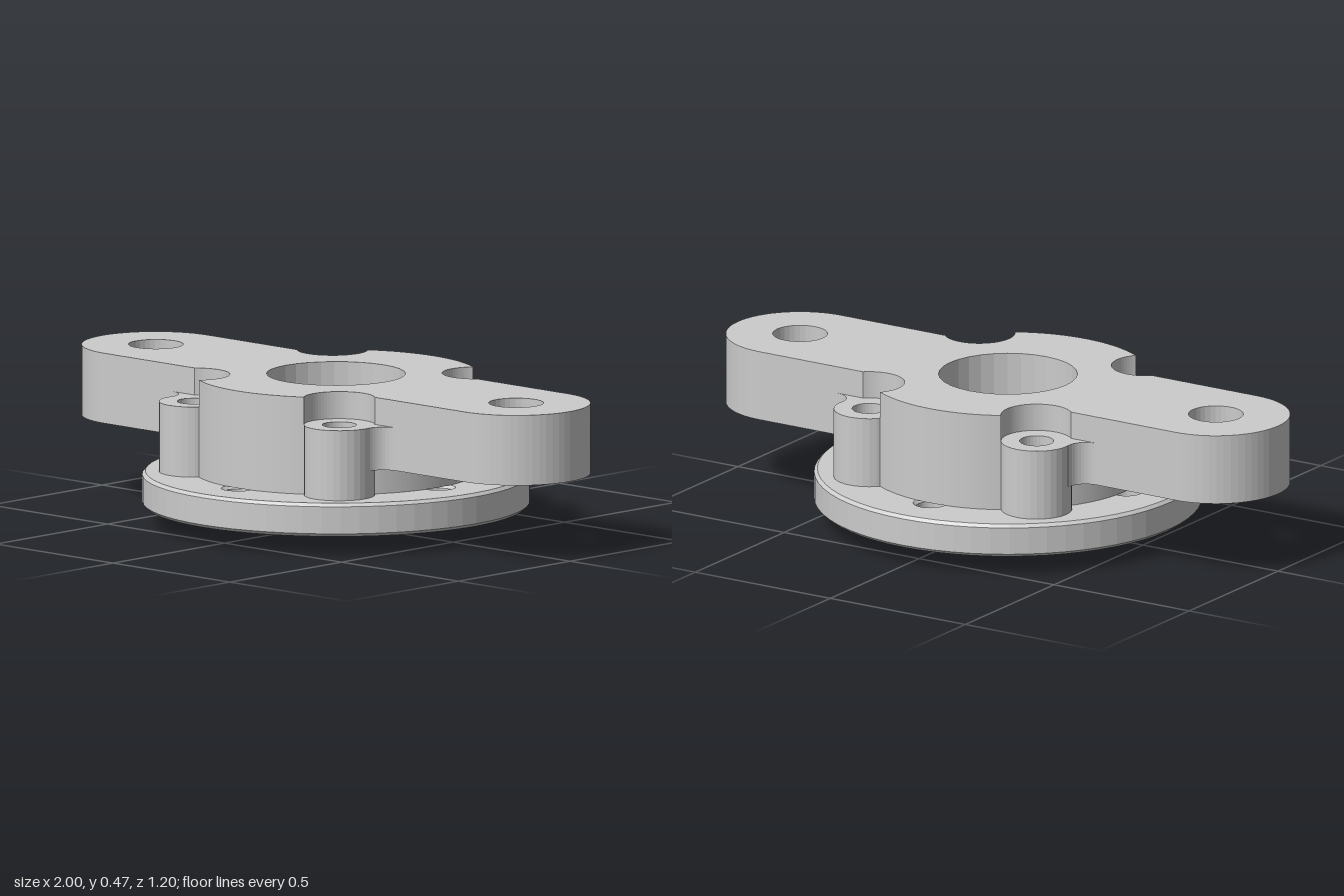
import * as THREE from 'three';

const rad = THREE.MathUtils.degToRad;
const material = new THREE.MeshStandardMaterial({ color: 0xcccccc, flatShading: true, side: THREE.DoubleSide });

const BOLT = 0.31;        // boss centre offset in x and z
const BOSS_R = 0.11;
const HUB_R = 0.44;
const ARM_X = 0.77;       // centre of the rounded arm end
const ARM_R = 0.23;

function circle(r, x = 0, y = 0, Type = THREE.Path) {
  return new Type().absarc(x, y, r, 0, Math.PI * 2, false);
}

// Plate from a plan shape between two heights, with optional edge chamfer
function plate(name, shape, holes, y0, y1, segments = 16, chamfer = 0) {
  shape.holes.push(...holes);
  const geometry = new THREE.ExtrudeGeometry(shape, {
    depth: y1 - y0 - 2 * chamfer, curveSegments: segments,
    bevelEnabled: chamfer > 0, bevelThickness: chamfer, bevelSize: chamfer,
    bevelOffset: -chamfer, bevelSegments: 1,
  });
  geometry.rotateX(-Math.PI / 2);
  geometry.translate(0, y0 + chamfer, 0);
  const mesh = new THREE.Mesh(geometry, material);
  mesh.name = name;
  return mesh;
}

// Round hub scooped out at the four bosses
function hubShape() {
  const s = new THREE.Shape();
  for (let k = 0; k < 4; k++) {
    const a = 45 + 90 * k;
    const d = BOLT * Math.SQRT2;
    s.absarc(d * Math.cos(rad(a)), d * Math.sin(rad(a)), BOSS_R, rad(a - 96.4), rad(a + 96.4), true);
    s.absarc(0, 0, HUB_R, rad(a + 14.4), rad(a + 75.6), false);
  }
  return s;
}

// Hub and both arms in one outline, with the same four scoops
function bodyShape() {
  const s = new THREE.Shape();
  for (const [side, turn] of [[1, 0], [-1, 180]]) {
    s.absarc(side * ARM_X, 0, ARM_R, rad(turn - 90), rad(turn + 90), false);
    s.absarc(side * BOLT, side * BOLT, BOSS_R, rad(turn - 46.7), rad(turn + 141.4), true);
    s.absarc(0, 0, HUB_R, rad(turn + 59.4), rad(turn + 120.6), false);
    s.absarc(-side * BOLT, side * BOLT, BOSS_R, rad(turn + 38.6), rad(turn + 226.7), true);
  }
  return s;
}

// Concave web blending a boss into the arm wall
function webShape(sx, sy) {
  const pts = [];
  for (let i = 0; i <= 10; i++) {
    const a = rad(-90 - 96.5 * i / 10);
    pts.push([0.48 + 0.061 * Math.cos(a), 0.291 + 0.061 * Math.sin(a)]);
  }
  pts.push([0.37, 0.29], [0.39, 0.22], [0.48, 0.22]);
  return new THREE.Shape(pts.map(([x, y]) => new THREE.Vector2(x * sx, y * sy)));
}

// Toothed bore outline
function splinePath(teeth, inner, outer) {
  const pts = [];
  for (let i = 0; i < teeth; i++) {
    for (const [f, r] of [[0, outer], [0.3, outer], [0.5, inner], [0.8, inner]]) {
      const a = (i + f) / teeth * Math.PI * 2;
      pts.push(new THREE.Vector2(r * Math.cos(a), r * Math.sin(a)));
    }
  }
  return new THREE.Path(pts);
}

export function createModel() {
  const model = new THREE.Group();
  model.name = 'splinedCrankFlange';

  // Chamfered nose under the flange
  const profile = [[0.175, 0.07], [0.175, 0.025], [0.19, 0], [0.21, 0], [0.22, 0.015], [0.22, 0.065]];
  const nose = new THREE.Mesh(
    new THREE.LatheGeometry(profile.map(([r, y]) => new THREE.Vector2(r, y)), 64), material);
  nose.name = 'nose';
  model.add(nose);

  // Flange disc with eight bolt holes
  const boltHoles = [];
  for (let i = 0; i < 8; i++) {
    const a = i * Math.PI / 4;
    boltHoles.push(circle(0.043, 0.438 * Math.cos(a), 0.438 * Math.sin(a)));
  }
  model.add(plate('flangeDisc', circle(0.6, 0, 0, THREE.Shape),
    [circle(0.175), ...boltHoles], 0.06, 0.165, 32, 0.01));

  // Splined socket open to the underside
  model.add(plate('splineSocket', circle(0.19, 0, 0, THREE.Shape),
    [splinePath(24, 0.152, 0.172)], 0.025, 0.275, 24));

  // Floor of the upper bore, with centre hole and three small pits
  model.add(plate('boreFloor', circle(0.22, 0, 0, THREE.Shape),
    [circle(0.075), circle(0.015, 0.125, 0.125), circle(0.015, -0.17, -0.045),
      circle(0.015, -0.045, -0.165)], 0.27, 0.315, 24, 0.006));

  // Hub and arms; the lower arm layer holds the wide counterbores
  model.add(plate('hubBase', hubShape(), [circle(0.185)], 0.165, 0.25));
  model.add(plate('armLower', bodyShape(),
    [circle(0.185), circle(0.165, ARM_X), circle(0.165, -ARM_X)], 0.25, 0.31));
  model.add(plate('armUpper', bodyShape(),
    [circle(0.215), circle(0.085, ARM_X), circle(0.085, -ARM_X)], 0.31, 0.47));

  // Four bolt bosses with their webs
  for (const sx of [1, -1]) {
    for (const sy of [1, -1]) {
      model.add(plate('boltBoss', circle(BOSS_R, sx * BOLT, sy * BOLT, THREE.Shape),
        [circle(0.053, sx * BOLT, sy * BOLT)], 0.165, 0.385));
      model.add(plate('bossWeb', webShape(sx, sy), [], 0.25, 0.385));
    }
  }
  return model;
}
